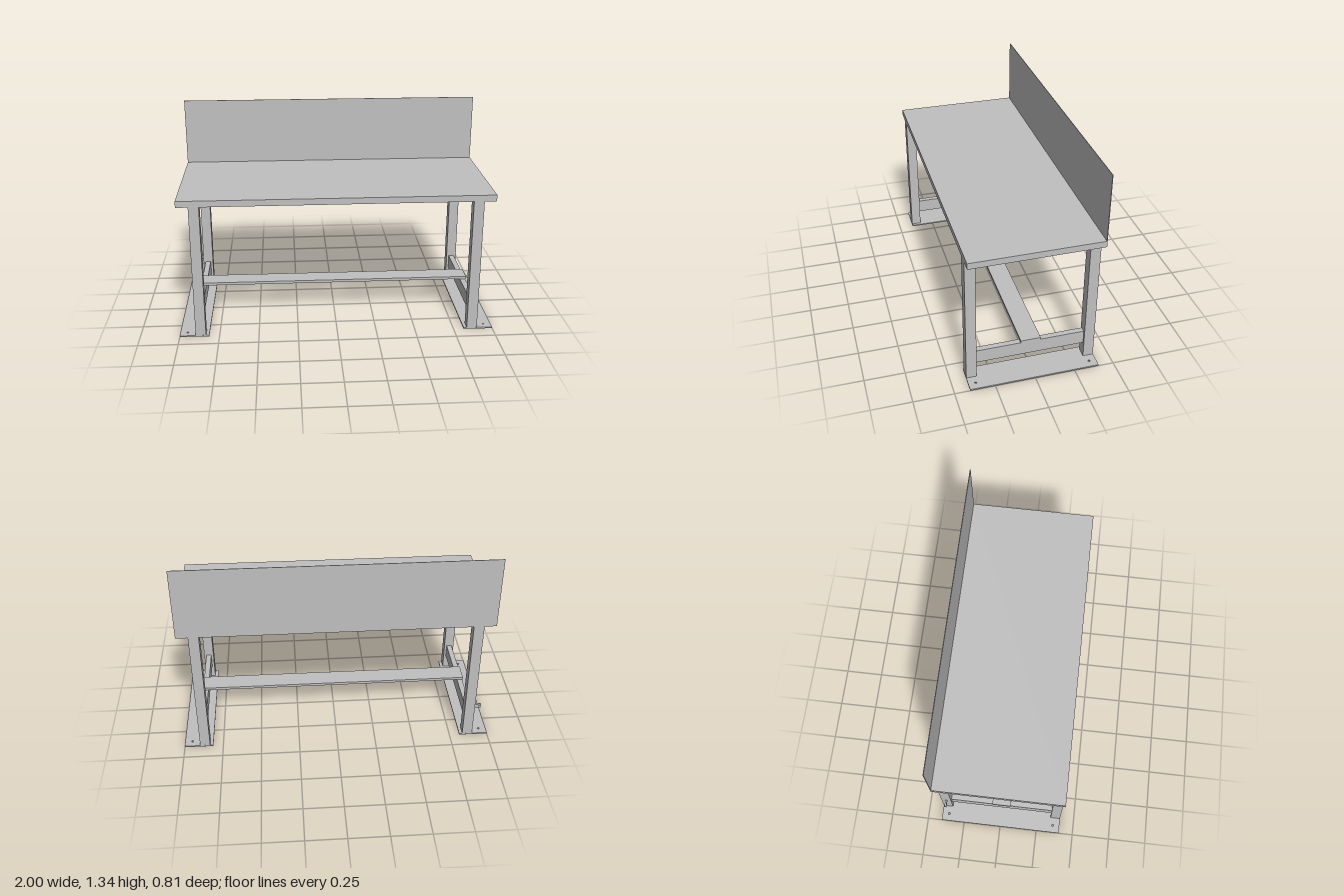
import * as THREE from 'three';

export function createModel() {
  const model = new THREE.Group();
  model.name = 'workbench';
  const steel = new THREE.MeshStandardMaterial({ color: 0xc0c0c0 });
  steel.name = 'grey steel';

  // Box given by its minimum and maximum along each axis
  function box(name, [x0, x1], [y0, y1], [z0, z1], parent = model) {
    const mesh = new THREE.Mesh(new THREE.BoxGeometry(x1 - x0, y1 - y0, z1 - z0), steel);
    mesh.position.set((x0 + x1) / 2, (y0 + y1) / 2, (z0 + z1) / 2);
    mesh.name = name;
    parent.add(mesh);
    return mesh;
  }

  // Rectangular plate with round holes, [x, y] in the plate's own plane
  function plate(name, w, h, depth, holes, radius) {
    const shape = new THREE.Shape([
      new THREE.Vector2(-w / 2, -h / 2), new THREE.Vector2(w / 2, -h / 2),
      new THREE.Vector2(w / 2, h / 2), new THREE.Vector2(-w / 2, h / 2),
    ]);
    for (const [x, y] of holes) {
      shape.holes.push(new THREE.Path().absarc(x, y, radius, 0, Math.PI * 2, true));
    }
    const geometry = new THREE.ExtrudeGeometry(shape, { depth, bevelEnabled: false, curveSegments: 8 });
    const mesh = new THREE.Mesh(geometry, steel);
    mesh.name = name;
    return mesh;
  }

  // Folded sheet worktop, open underneath
  const t = 0.004;
  const worktop = new THREE.Group();
  worktop.name = 'worktop';
  model.add(worktop);
  box('topSheet', [-0.975, 0.975], [0.91 - t, 0.91], [-0.405 + t, 0.405], worktop);
  box('frontLip', [-0.975, 0.975], [0.87, 0.91 - t], [0.405 - t, 0.405], worktop);
  for (const s of [-1, 1]) {
    const xs = s > 0 ? [0.975 - t, 0.975] : [-0.975, -0.975 + t];
    box('endLip', xs, [0.87, 0.91 - t], [-0.405 + t, 0.405 - t], worktop);
  }

  // Upright back panel, running down behind the worktop edge
  box('backPanel', [-0.975, 0.975], [0.87, 1.338], [-0.405, -0.405 + t]);

  // End frames: foot plate, two legs and a side rail
  for (const s of [-1, 1]) {
    const frame = new THREE.Group();
    frame.name = s > 0 ? 'leftFrame' : 'rightFrame';
    model.add(frame);
    const span = (a, b) => (s > 0 ? [a, b] : [-b, -a]);

    const foot = plate('footPlate', 0.185, 0.81, 0.009, [[s * 0.045, 0.36], [s * 0.045, -0.36]], 0.007);
    foot.rotation.x = -Math.PI / 2;
    foot.position.x = s * 0.9075;
    frame.add(foot);

    box('frontLeg', span(0.835, 0.9), [0.009, 0.906], [0.34, 0.4045], frame);
    box('backLeg', span(0.835, 0.9), [0.009, 0.906], [-0.4045, -0.34], frame);
    box('sideRail', span(0.85, 0.885), [0.105, 0.195], [-0.34, 0.34], frame);
  }

  // Long flat stretcher resting on the side rails
  box('stretcher', [-0.89, 0.89], [0.195, 0.213], [-0.062, 0.062]);

  // Drilled earthing tab on one back leg
  const tab = plate('legTab', 0.045, 0.028, 0.012, [[-0.011, 0]], 0.004);
  tab.position.set(-0.9225, 0.219, -0.378);
  model.add(tab);

  return model;
}
